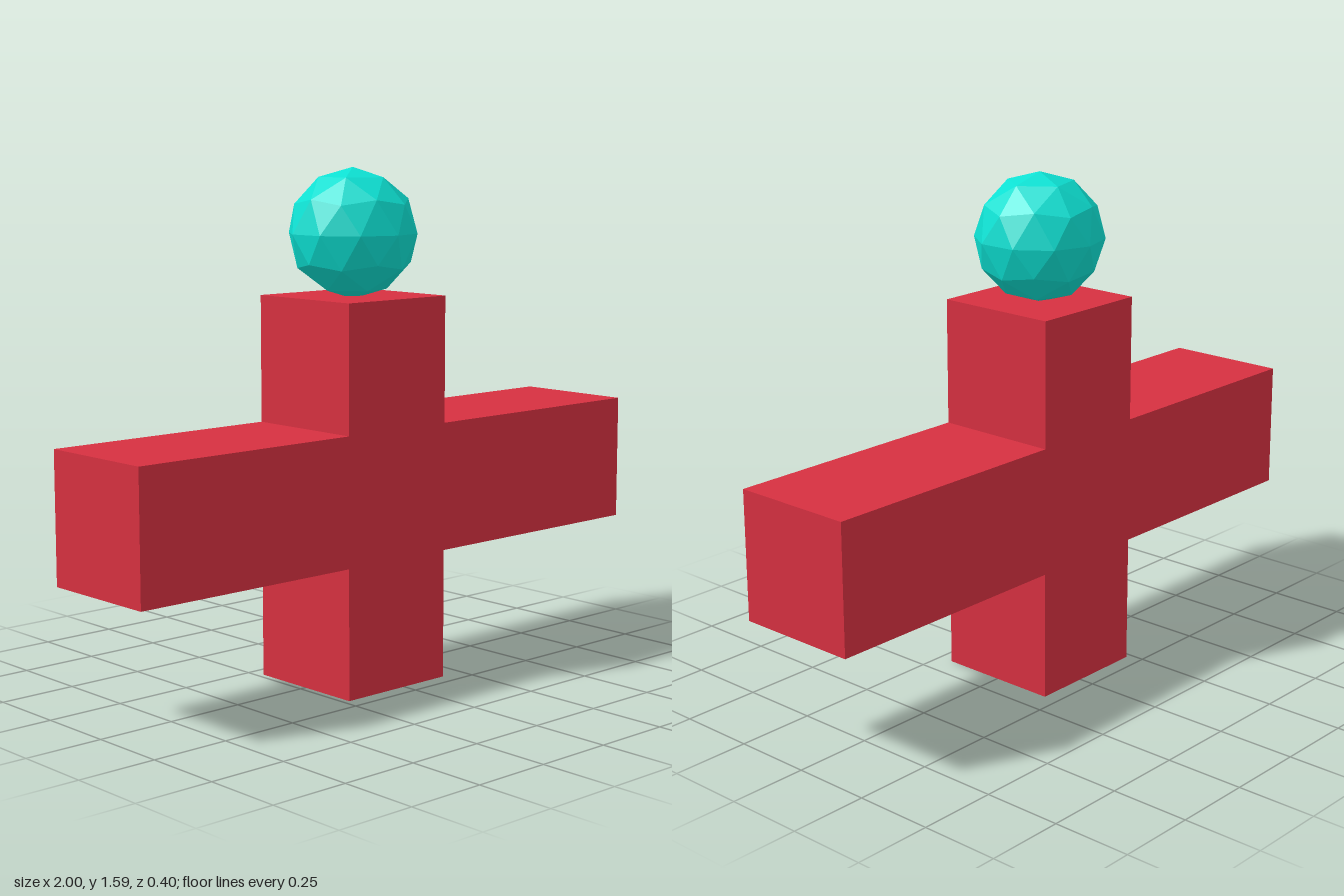
import * as THREE from 'three';

export function createModel() {
  const model = new THREE.Group();
  model.name = 'figure';

  const red = new THREE.MeshStandardMaterial({ color: 0xd63040 });
  red.name = 'red';
  const teal = new THREE.MeshStandardMaterial({ color: 0x0de0d2 });
  teal.name = 'teal';
  teal.flatShading = true;

  // Cross-shaped body: upright trunk with two outstretched arms
  const [left, right, armBottom, armTop, top, depth] = [-0.23, 0.17, 0.406, 0.807, 1.2, 0.4];
  const outline = new THREE.Shape([
    [left, 0], [right, 0], [right, armBottom], [1, armBottom], [1, armTop], [right, armTop],
    [right, top], [left, top], [left, armTop], [-1, armTop], [-1, armBottom], [left, armBottom],
  ].map(([x, y]) => new THREE.Vector2(x, y)));
  const bodyGeometry = new THREE.ExtrudeGeometry(outline, { depth, bevelEnabled: false });
  bodyGeometry.translate(0, 0, -depth / 2);
  const body = new THREE.Mesh(bodyGeometry, red);
  body.name = 'body';
  model.add(body);

  // Faceted head, turned so that a corner points straight up
  const headGeometry = new THREE.IcosahedronGeometry(0.2, 1);
  headGeometry.rotateZ(-Math.atan(2 / (1 + Math.sqrt(5))));
  const head = new THREE.Mesh(headGeometry, teal);
  head.name = 'head';
  head.position.set((left + right) / 2, 1.39, 0);
  model.add(head);

  return model;
}
